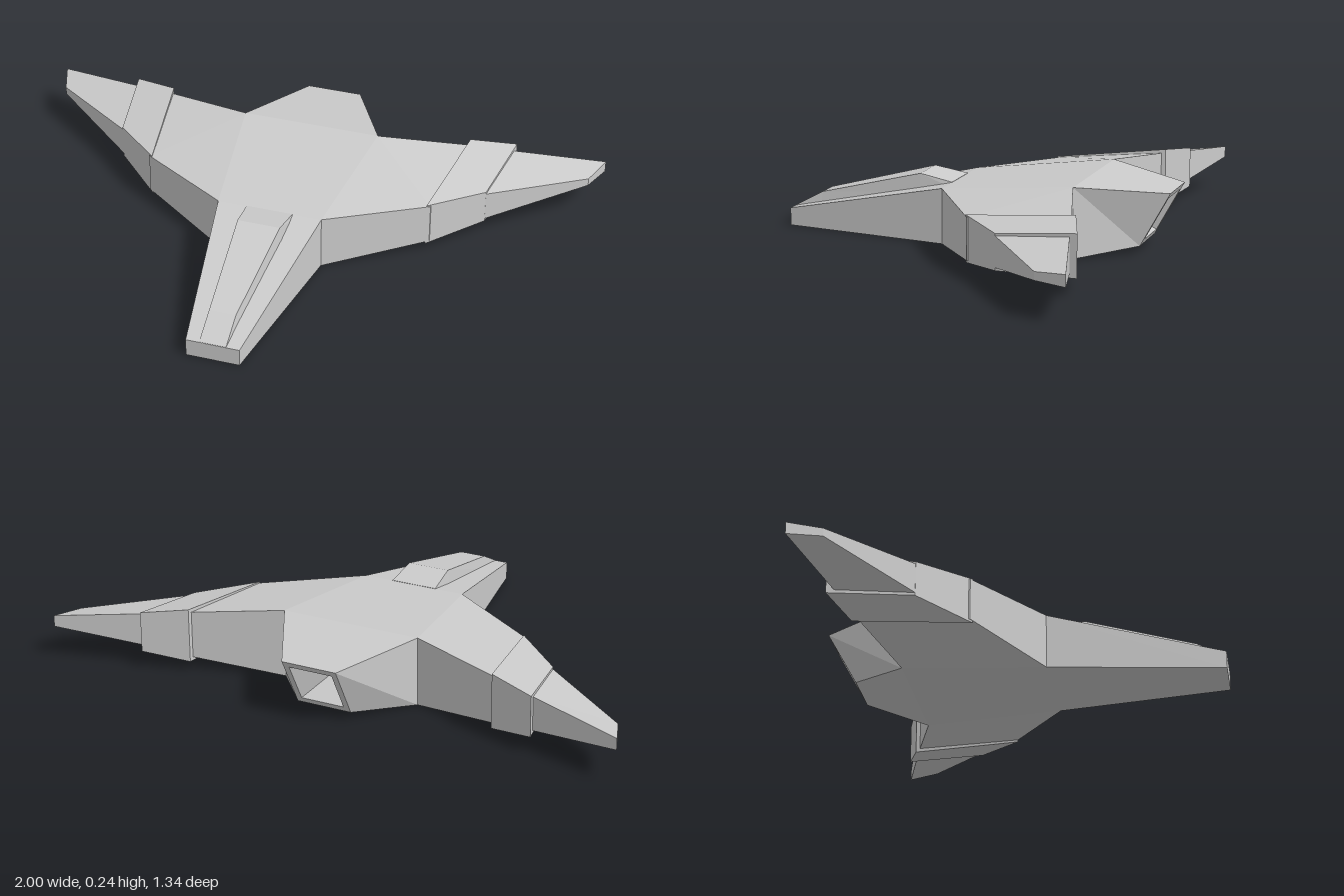
import * as THREE from 'three';

const material = new THREE.MeshStandardMaterial({ color: 0xcccccc, flatShading: true });

// Skins a row of four-cornered cross-sections and caps both ends
function loft(name, sections, flip = false) {
  const pos = [];
  const tri = (a, b, c) => pos.push(...a, ...(flip ? c : b), ...(flip ? b : c));
  const quad = (a, b, c, d) => { tri(a, b, c); tri(a, c, d); };
  for (let s = 0; s < sections.length - 1; s++) {
    const a = sections[s], b = sections[s + 1];
    for (let i = 0; i < 4; i++) {
      const j = (i + 1) % 4;
      quad(a[i], a[j], b[j], b[i]);
    }
  }
  quad(...[...sections[0]].reverse());
  quad(...sections[sections.length - 1]);
  const geometry = new THREE.BufferGeometry();
  geometry.setAttribute('position', new THREE.Float32BufferAttribute(pos, 3));
  geometry.computeVertexNormals();
  const mesh = new THREE.Mesh(geometry, material);
  mesh.name = name;
  return mesh;
}

// Section across the hull: half widths, heights and z of its top and bottom edges
const across = (wTop, yTop, zTop, wBot, yBot, zBot) => [
  [-wTop, yTop, zTop], [wTop, yTop, zTop], [wBot, yBot, zBot], [-wBot, yBot, zBot],
];

// Section along the wing: leading edge and trailing edge as [x, z, bottom, top]
const rib = (side, [xf, zf, bf, tf], [xr, zr, br, tr]) => [
  [side * xf, tf, zf], [side * xf, bf, zf], [side * xr, br, zr], [side * xr, tr, zr],
];

export function createModel() {
  const group = new THREE.Group();
  group.name = 'aircraft';

  // Nose, middle body and tapered tail with a recessed exhaust
  group.add(loft('fuselage', [
    across(0.09, 0.06, 0.67, 0.09, 0, 0.67),
    across(0.18, 0.188, 0.085, 0.18, 0, 0.085),
    across(0.24, 0.237, -0.385, 0.24, 0, -0.385),
    across(0.095, 0.207, -0.67, 0.095, 0.025, -0.57),
    across(0.075, 0.187, -0.659, 0.075, 0.045, -0.581),
    across(0.008, 0.125, -0.5, 0.008, 0.11, -0.49),
  ]));

  // Faceted canopy running the length of the nose
  group.add(loft('canopy', [
    across(0.045, 0.061, 0.669, 0.047, 0.045, 0.669),
    across(0.045, 0.115, 0.57, 0.052, 0.07, 0.57),
    across(0.073, 0.21, 0.2, 0.08, 0.15, 0.2),
    across(0.08, 0.189, 0.085, 0.085, 0.17, 0.085),
  ]));

  for (const side of [1, -1]) {
    const wing = new THREE.Group();
    wing.name = side > 0 ? 'leftWing' : 'rightWing';
    const panel = (name, ...ribs) =>
      wing.add(loft(name, ribs.map(([front, rear]) => rib(side, front, rear)), side < 0));

    panel('innerWing',
      [[0.18, 0.085, 0, 0.188], [0.24, -0.385, 0, 0.237]],
      [[0.5, -0.115, 0.035, 0.176], [0.55, -0.475, 0.045, 0.205]]);
    // Thicker collar between the inner and outer panels
    panel('wingCollar',
      [[0.488, -0.108, 0.026, 0.181], [0.543, -0.487, 0.032, 0.22]],
      [[0.655, -0.262, 0.052, 0.17], [0.697, -0.538, 0.06, 0.2]]);
    panel('outerWing',
      [[0.645, -0.255, 0.06, 0.163], [0.69, -0.512, 0.07, 0.187]],
      [[0.962, -0.487, 0.116, 0.143], [1, -0.595, 0.113, 0.152]]);
    group.add(wing);
  }
  return group;
}
